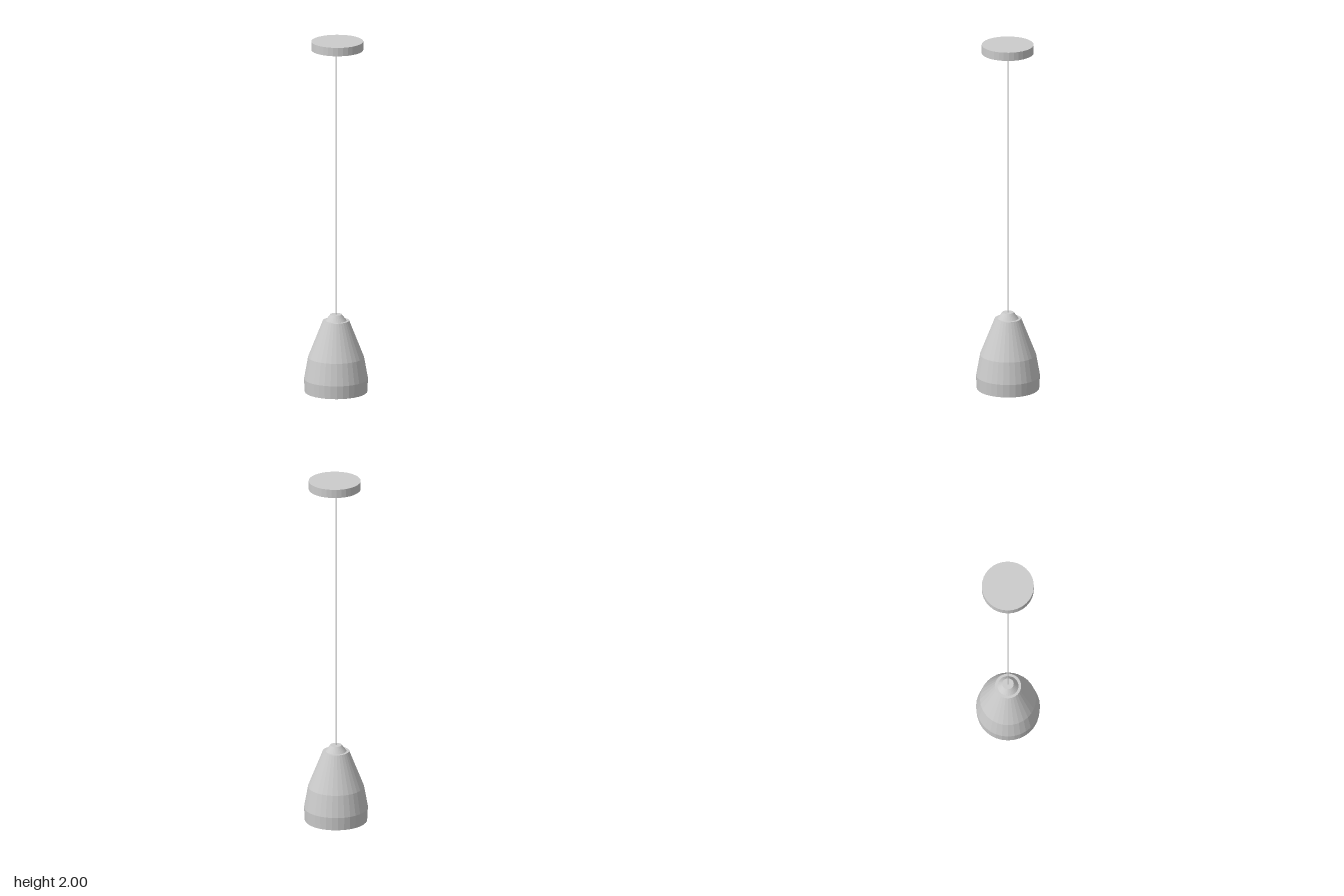
import * as THREE from 'three';

const SIDES = 32;

export function createModel() {
  const model = new THREE.Group();
  model.name = 'pendantLamp';
  const material = new THREE.MeshStandardMaterial({ color: 0xcccccc, flatShading: true });

  const add = (name, geometry, x = 0, y = 0, z = 0) => {
    const mesh = new THREE.Mesh(geometry, material);
    mesh.name = name;
    mesh.position.set(x, y, z);
    model.add(mesh);
  };
  // Profile points are [radius, height], listed from the bottom up
  const lathe = (points) =>
    new THREE.LatheGeometry(points.map(([r, y]) => new THREE.Vector2(r, y)), SIDES);

  // Tapered shade with a closed underside and a flat top ledge
  add('shade', lathe([
    [0, 0], [0.173, 0], [0.177, 0.074], [0.155, 0.197], [0.073, 0.405], [0, 0.405],
  ]));

  // Small conical collar holding the cable
  add('collar', lathe([[0.058, 0.405], [0.032, 0.44], [0, 0.44]]));

  // Thin cable up to the ceiling
  const bottom = 0.43, top = 1.96;
  add('cable', new THREE.CylinderGeometry(0.004, 0.004, top - bottom, 12), 0, (top + bottom) / 2, 0);

  // Ceiling canopy, set slightly off the cable's axis
  add('ceilingCanopy', new THREE.CylinderGeometry(0.144, 0.144, 0.048, SIDES), 0.007, 1.976, 0.002);

  return model;
}
